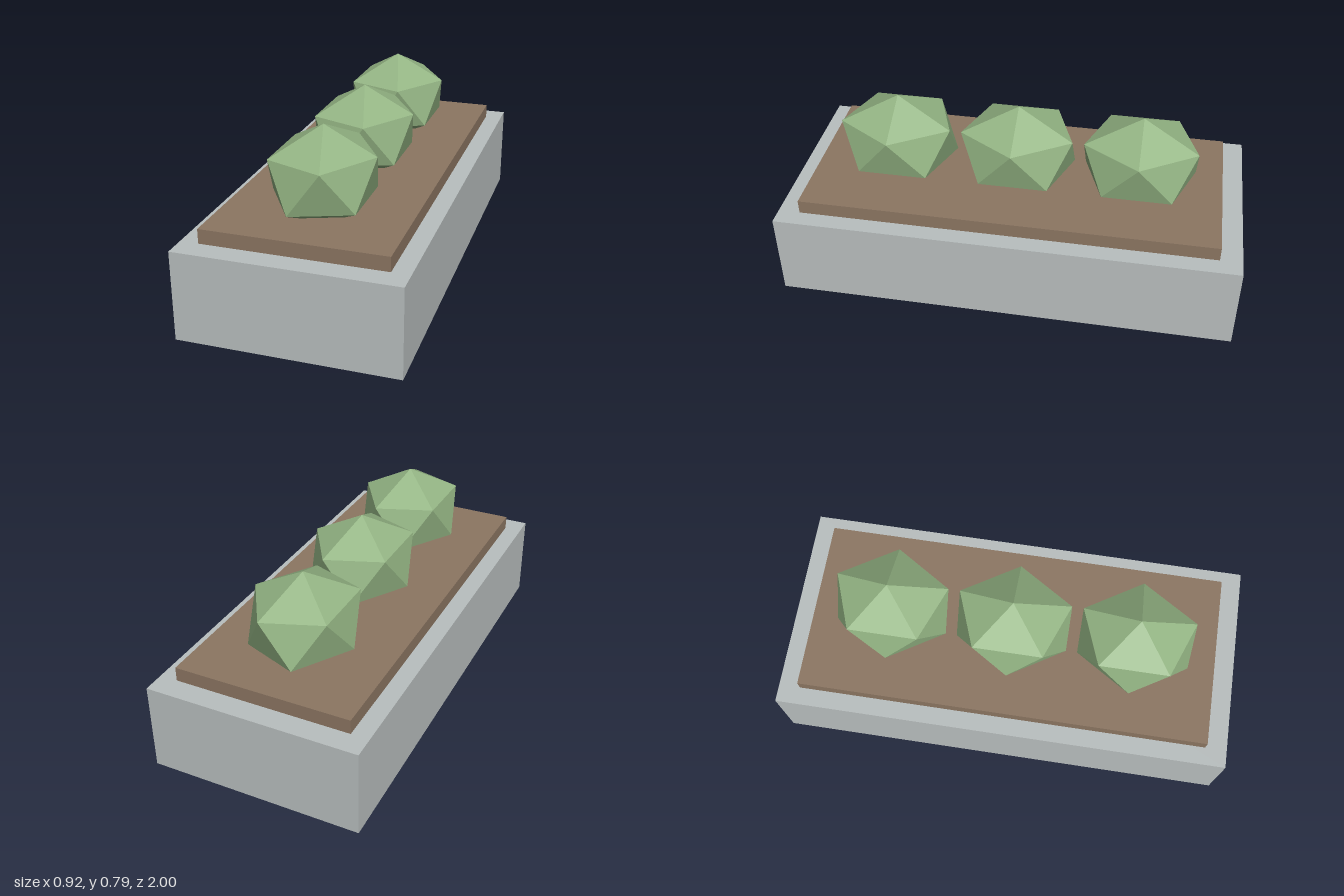
import * as THREE from 'three';

const mat = (name, color) => {
  const m = new THREE.MeshStandardMaterial({ color });
  m.name = name;
  return m;
};

// Box standing on height y
function slab(name, w, h, d, y, material) {
  const mesh = new THREE.Mesh(new THREE.BoxGeometry(w, h, d), material);
  mesh.name = name;
  mesh.position.y = y + h / 2;
  return mesh;
}

export function createModel() {
  const concrete = mat('concrete grey', 0xb9bfbf);
  const earth = mat('soil brown', 0x8c7662);
  const leaf = mat('leaf green', 0x94b584);

  const model = new THREE.Group();
  model.name = 'planter';

  // Planter block with a raised bed of soil
  model.add(slab('planterBox', 0.922, 0.384, 2, 0, concrete));
  model.add(slab('soil', 0.768, 0.062, 1.81, 0.384, earth));

  // Faceted shrub: icosahedron tipped onto a vertex, then stretched
  const shrubGeometry = new THREE.IcosahedronGeometry(1, 0);
  shrubGeometry.rotateZ(-Math.atan(2 / (1 + Math.sqrt(5))));
  shrubGeometry.scale(0.248, 0.209, 0.287);
  shrubGeometry.computeVertexNormals();

  // Row of three shrubs
  ['back', 'middle', 'front'].forEach((place, i) => {
    const shrub = new THREE.Mesh(shrubGeometry, leaf);
    shrub.name = place + 'Shrub';
    shrub.position.set(0, 0.579, (i - 1) * 0.538);
    model.add(shrub);
  });

  return model;
}
